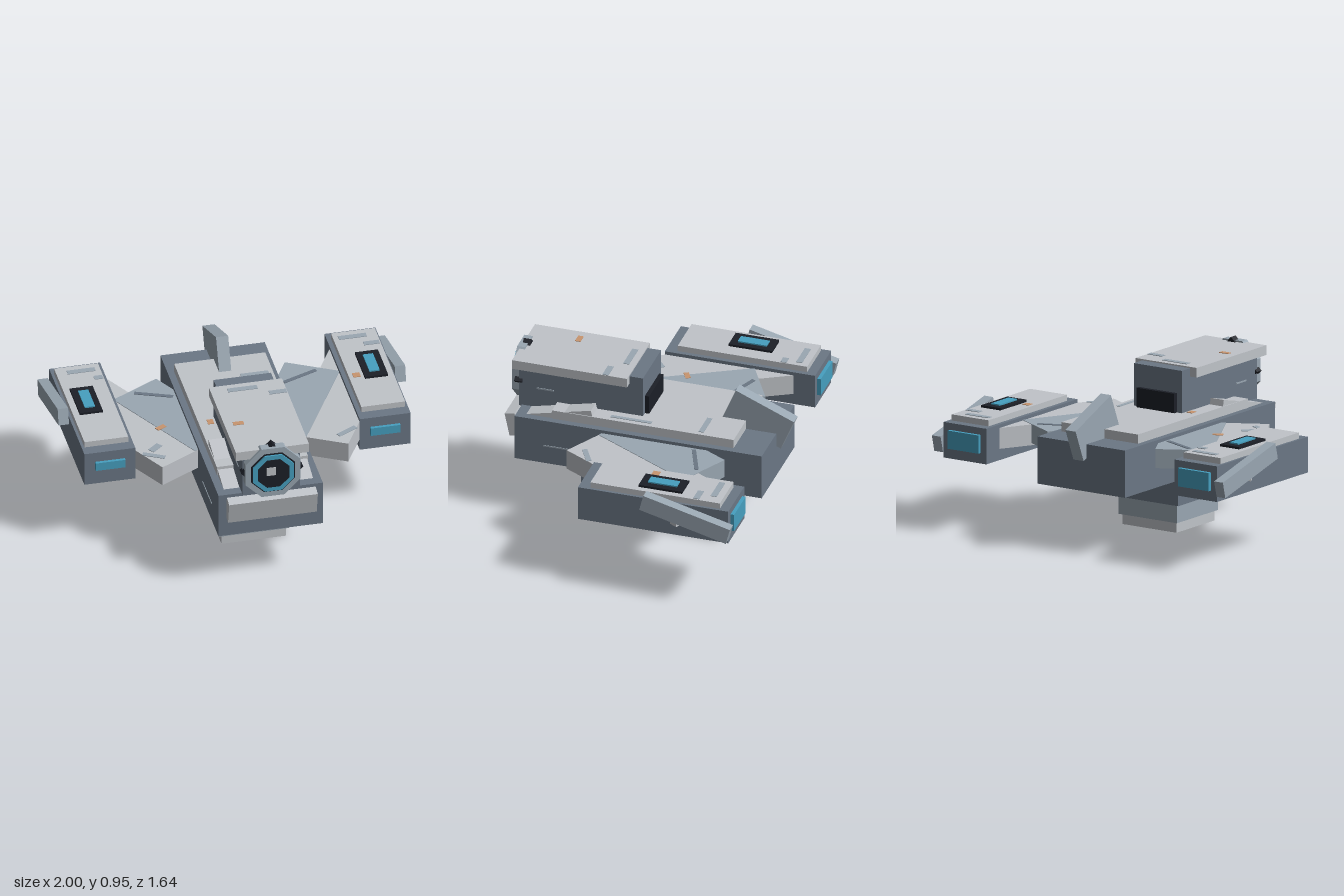
import * as THREE from 'three';

export function createModel() {
  const mat = (name, color) => {
    const m = new THREE.MeshStandardMaterial({ color });
    m.name = name;
    return m;
  };
  const slate = mat('slateHull', 0x6b7785);
  const light = mat('lightArmor', 0xc0c4c9);
  const mid = mat('blueGreyArmor', 0x9aa7b2);
  const dark = mat('blackTrim', 0x1c1f27);
  const cyan = mat('cyanGlow', 0x46a0c0);
  const rust = mat('rustSpot', 0xc8956f);

  const root = new THREE.Group();
  root.name = 'gunship';

  const add = (parent, name, geo, material) => {
    const mesh = new THREE.Mesh(geo, material);
    mesh.name = name;
    parent.add(mesh);
    return mesh;
  };
  // Box from its extents on each axis
  const span = (parent, name, m, [x0, x1], [y0, y1], [z0, z1]) => {
    const b = add(parent, name, new THREE.BoxGeometry(x1 - x0, y1 - y0, z1 - z0), m);
    b.position.set((x0 + x1) / 2, (y0 + y1) / 2, (z0 + z1) / 2);
    return b;
  };
  // Box from size and centre, with a rotation
  const tilted = (parent, name, m, size, pos, rx = 0, ry = 0) => {
    const b = add(parent, name, new THREE.BoxGeometry(...size), m);
    b.position.set(...pos);
    b.rotation.set(rx, ry, 0);
    return b;
  };
  // Thin painted mark lying on a top surface
  const mark = (parent, m, x, y, z, w, d, ry = 0) =>
    tilted(parent, 'paintMark', m, [w, 0.004, d], [x, y + 0.001, z], 0, ry);

  // Hull, deck and stepped keel
  span(root, 'hull', slate, [-0.3, 0.3], [0.345, 0.617], [-0.713, 0.743]);
  span(root, 'deckPlate', light, [-0.262, 0.262], [0.61, 0.67], [-0.535, 0.535]);
  span(root, 'keelUpper', slate, [-0.235, 0.235], [0.17, 0.35], [-0.105, 0.372]);
  span(root, 'keelMiddle', mid, [-0.2, 0.2], [0.06, 0.17], [-0.067, 0.333]);
  span(root, 'keelFoot', light, [-0.185, 0.185], [0, 0.06], [-0.05, 0.317]);
  tilted(root, 'bowPlate', light, [0.51, 0.14, 0.06], [0, 0.532, 0.772], 0.21);
  tilted(root, 'tailFin', mid, [0.07, 0.2, 0.372], [0, 0.69, -0.607], -0.4);

  // Cannon housing
  const cannon = new THREE.Group();
  cannon.name = 'cannon';
  root.add(cannon);
  span(cannon, 'cannonBody', slate, [-0.165, 0.165], [0.61, 0.914], [0.03, 0.76]);
  span(cannon, 'cannonRoof', light, [-0.21, 0.21], [0.866, 0.922], [0.11, 0.787]);
  span(cannon, 'rearVent', dark, [-0.13, 0.13], [0.66, 0.782], [0.005, 0.03]);

  // Muzzle: stacked discs facing forward
  const disc = (name, m, r, sides, turn, z0, z1) => {
    const g = new THREE.CylinderGeometry(r, r, z1 - z0, sides, 1, false, turn).toNonIndexed();
    g.computeVertexNormals();
    g.rotateX(Math.PI / 2);
    add(cannon, name, g, m).position.set(0, 0.772, (z0 + z1) / 2);
  };
  const eighth = Math.PI / 8;
  disc('muzzleDiamond', dark, 0.178, 4, 0, 0.74, 0.785);
  disc('muzzleCollar', mid, 0.172, 8, eighth, 0.755, 0.803);
  disc('muzzleRim', dark, 0.136, 8, eighth, 0.79, 0.806);
  disc('muzzleGlow', cyan, 0.127, 8, eighth, 0.79, 0.816);
  disc('muzzleLens', dark, 0.098, 8, eighth, 0.79, 0.819);
  span(cannon, 'lensGlint', light, [-0.04, 0.013], [0.762, 0.815], [0.815, 0.822]);

  for (const s of [1, -1]) {
    const side = new THREE.Group();
    side.name = s > 0 ? 'leftSide' : 'rightSide';
    root.add(side);
    const xs = (a, b) => (s > 0 ? [a, b] : [-b, -a]);

    // Sloped deck strake beside the cannon
    tilted(side, 'deckStrake', light, [0.09, 0.06, 0.4], [s * 0.212, 0.631, 0.495], 0.23);

    // Swept wing: pale slab with a blue-grey slab laid over its root
    tilted(side, 'wing', light, [0.36, 0.12, 0.892], [s * 0.59, 0.535, -0.118], 0, -s * 0.5);
    tilted(side, 'wingRoot', mid, [0.32, 0.11, 0.69], [s * 0.345, 0.543, -0.138], 0, -s * 0.5);
    mark(side, slate, s * 0.42, 0.598, -0.36, 0.22, 0.024, s * 0.38);
    mark(side, mid, s * 0.555, 0.595, 0.235, 0.13, 0.03, s * 0.5);

    // Engine pod
    span(side, 'pod', slate, xs(0.645, 0.938), [0.41, 0.615], [-0.722, 0.163]);
    span(side, 'podRoof', light, xs(0.67, 0.922), [0.61, 0.65], [-0.667, 0.095]);
    span(side, 'podPanel', dark, xs(0.754, 0.886), [0.645, 0.663], [-0.433, -0.177]);
    span(side, 'podPanelGlow', cyan, xs(0.789, 0.848), [0.655, 0.671], [-0.39, -0.22]);
    span(side, 'podFrontLight', cyan, xs(0.705, 0.876), [0.505, 0.555], [0.15, 0.181]);
    span(side, 'podRearLight', cyan, xs(0.684, 0.896), [0.47, 0.575], [-0.743, -0.71]);
    tilted(side, 'podSideBar', mid, [0.06, 0.097, 0.526], [s * 0.969, 0.553, -0.484], -0.25);
    mark(side, mid, s * 0.78, 0.65, -0.61, 0.16, 0.035);

    // Pale scratches on the hull and cannon flanks
    span(side, 'scratch', mid, xs(0.298, 0.303), [0.453, 0.461], [0.35, 0.575]);
    span(side, 'scratch', mid, xs(0.163, 0.168), [0.735, 0.744], [0.555, 0.655]);
  }

  // Worn paint and rust on the upper surfaces
  mark(root, mid, -0.03, 0.922, 0.165, 0.17, 0.035);
  mark(root, mid, 0.157, 0.922, 0.238, 0.1, 0.035);
  mark(root, mid, 0.155, 0.67, -0.335, 0.16, 0.03);
  mark(root, mid, 0.222, 0.67, 0.08, 0.022, 0.24);
  mark(root, mid, -0.7, 0.65, -0.525, 0.05, 0.035);
  mark(root, mid, 0.87, 0.65, -0.525, 0.09, 0.035);
  mark(root, mid, -0.53, 0.595, 0.16, 0.08, 0.04, 0.7);
  mark(root, rust, -0.13, 0.922, 0.5, 0.06, 0.032);
  mark(root, rust, -0.195, 0.67, 0.082, 0.035, 0.045);
  mark(root, rust, 0.715, 0.65, -0.225, 0.042, 0.042);
  mark(root, rust, -0.455, 0.598, -0.03, 0.06, 0.03, 0.5);

  return root;
}
